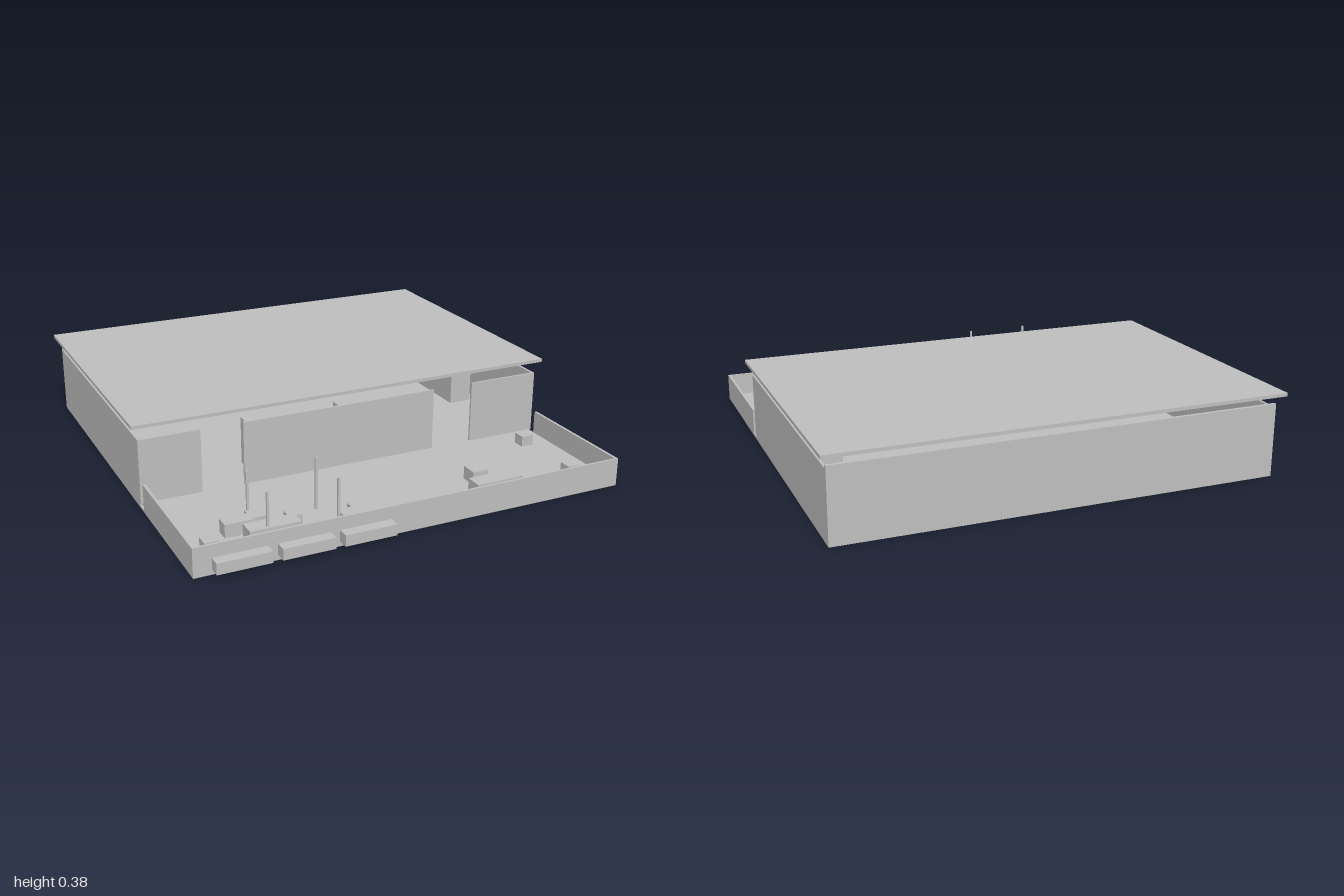
import * as THREE from 'three';

export function createModel() {
  const model = new THREE.Group();
  const grey = new THREE.MeshStandardMaterial({ color: 0xbebebe });
  grey.name = 'plain grey';

  // box given by its lower and upper limits on each axis
  function box(name, x0, x1, y0, y1, z0, z1) {
    const mesh = new THREE.Mesh(new THREE.BoxGeometry(x1 - x0, y1 - y0, z1 - z0), grey);
    mesh.position.set((x0 + x1) / 2, (y0 + y1) / 2, (z0 + z1) / 2);
    mesh.name = name;
    model.add(mesh);
  }

  // floor slab and raised roof
  box('groundSlab', -0.96, 0.96, 0, 0.01, -0.965, 0.95);
  box('floor', -0.95, 0.95, 0.01, 0.022, -0.95, 0.94);
  box('roof', -0.987, 0.987, 0.36, 0.375, -1, 0.32);

  // side walls and terrace parapet
  for (const s of [-1, 1]) {
    const a = s > 0 ? 0.948 : -0.96;
    box('sideWall', a, a + 0.012, 0.01, 0.305, -0.95, 0.295);
    box('sideParapet', a, a + 0.012, 0.01, 0.125, 0.345, 0.94);
  }
  box('backWall', -0.96, 0.96, 0.01, 0.32, -0.965, -0.95);
  box('frontParapet', -0.96, 0.96, 0.01, 0.125, 0.94, 0.95);

  // front wall panels with two doorways between them
  for (const [x0, x1] of [[-0.96, -0.69], [-0.5, 0.42], [0.62, 0.96]]) {
    box('frontWall', x0, x1, 0.02, 0.305, 0.295, 0.305);
  }

  // planters hung on the parapet
  for (const [x0, x1] of [[-0.885, -0.66], [-0.62, -0.4], [-0.36, -0.135]]) {
    box('planter', x0, x1, 0.022, 0.07, 0.925, 1);
  }

  // terrace tables and benches: x0, x1, z0, z1, height
  for (const [x0, x1, z0, z1, h] of [
    [-0.705, -0.49, 0.805, 0.88, 0.105], [0.305, 0.525, 0.805, 0.88, 0.1],
    [-0.755, -0.635, 0.68, 0.74, 0.08], [-0.31, -0.19, 0.82, 0.885, 0.09],
  ]) box('terraceTable', x0, x1, 0.02, h, z0, z1);

  // terrace seats: x, z, size, height
  for (const [x, z, w, h] of [
    [0.83, 0.44, 0.058, 0.07], [0.83, 0.795, 0.058, 0.065], [-0.84, 0.795, 0.058, 0.065],
    [-0.21, 0.795, 0.058, 0.08], [-0.47, 0.75, 0.058, 0.08],
    [-0.6, 0.69, 0.078, 0.08], [0.415, 0.69, 0.075, 0.08],
  ]) box('terraceSeat', x - w / 2, x + w / 2, 0.02, h, z - w / 2, z + w / 2);

  // thin canopy posts
  for (const x of [-0.625, -0.325]) {
    for (const z of [0.655, 0.865]) {
      box('post', x - 0.005, x + 0.005, 0.02, 0.25, z - 0.005, z + 0.005);
    }
  }

  // indoor furniture: x0, x1, z0, z1, height
  for (const [x0, x1, z0, z1, h] of [
    [-0.79, -0.73, -0.04, 0.02, 0.12], [0.25, 0.31, -0.03, 0.03, 0.08],
    [-0.43, -0.21, 0.09, 0.17, 0.24], [0.02, 0.25, 0.09, 0.17, 0.24],
    [-0.13, 0.2, -0.85, -0.76, 0.24], [0.36, 0.59, -0.85, -0.76, 0.24],
    [0.79, 0.9, -0.58, -0.15, 0.24],
  ]) box('cabinet', x0, x1, 0.02, h, z0, z1);

  return model;
}
